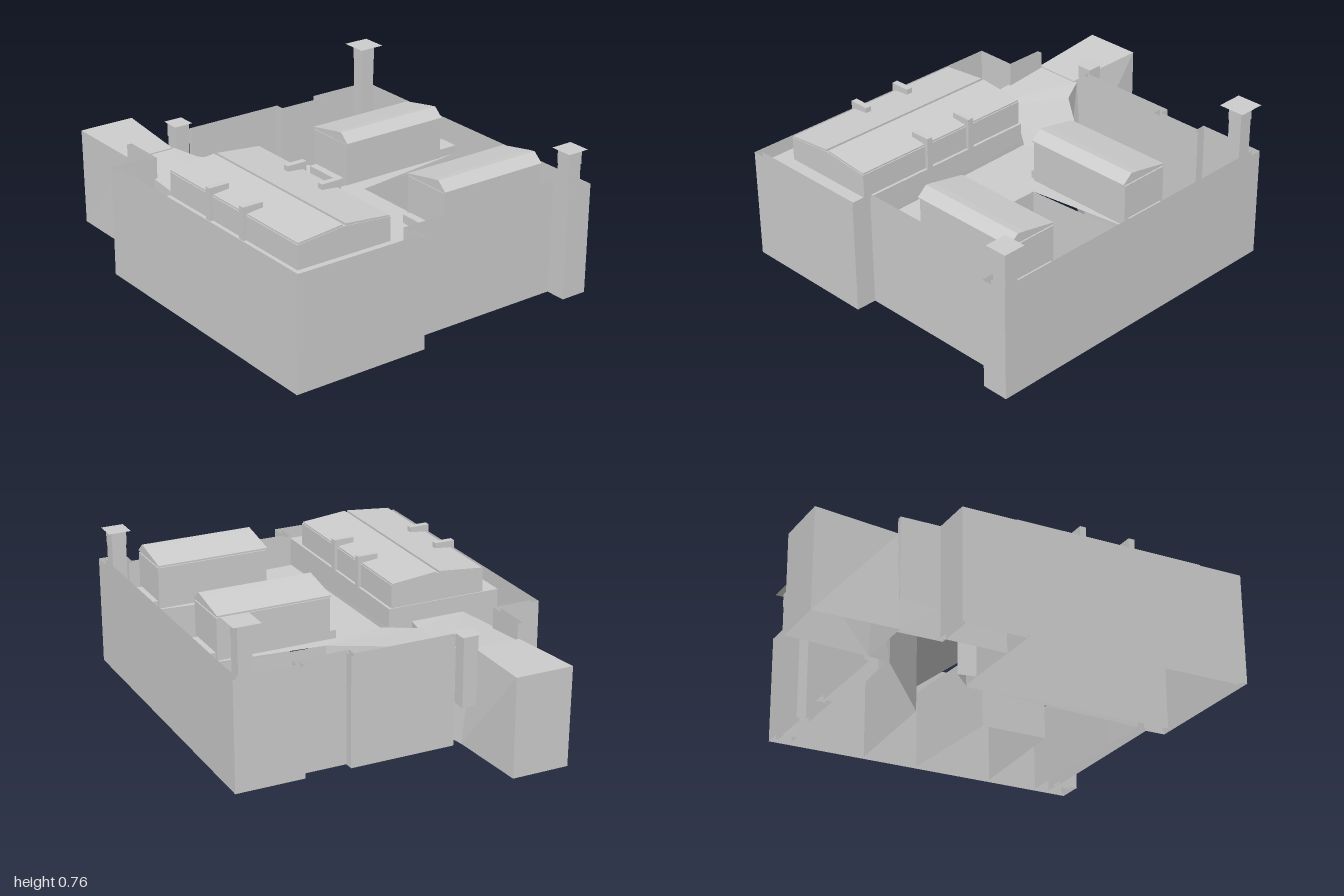
import * as THREE from 'three';

// Two-sided, since the walls and shells are open sheets
const mat = new THREE.MeshStandardMaterial({ color: 0xcccccc, flatShading: true, side: THREE.DoubleSide });

function add(parent, geometry, name) {
  const mesh = new THREE.Mesh(geometry, mat);
  mesh.name = name;
  parent.add(mesh);
  return mesh;
}

// Box given by its limits on each axis; standing boxes have no underside
function box(parent, name, [x0, x1], [y0, y1], [z0, z1], openBelow = true) {
  const g = new THREE.BoxGeometry(x1 - x0, y1 - y0, z1 - z0);
  g.translate((x0 + x1) / 2, (y0 + y1) / 2, (z0 + z1) / 2);
  if (openBelow) g.setIndex([...g.index.array].filter((_, i) => i < 18 || i >= 24));
  return add(parent, g, name);
}

function fromTriangles(points) {
  const g = new THREE.BufferGeometry().setFromPoints(points);
  g.computeVertexNormals();
  return g;
}

const v = (x, y, z) => new THREE.Vector3(x, y, z);
const quad = (out, a, b, c, d) => out.push(a, b, c, a, c, d);

// Sides and roof without a floor; outlines run counterclockwise seen from above.
// The upper edge of the sides may differ from the roof outline.
function shell(bottom, roof, sideTop = roof) {
  const out = [];
  bottom.forEach((p, i) => {
    const j = (i + 1) % bottom.length;
    quad(out, p, bottom[j], sideTop[j], sideTop[i]);
  });
  const flat = roof.map((p) => new THREE.Vector2(p.x, -p.z));
  for (const [a, b, c] of THREE.ShapeUtils.triangulateShape(flat, [])) out.push(roof[a], roof[b], roof[c]);
  return fromTriangles(out);
}

// Perimeter wall: outer and inner sheets along a right-angled path, open along the top
function wallGeometry(path, height, thickness) {
  const inward = path.slice(1).map(([x, z], i) => {
    const dx = x - path[i][0], dz = z - path[i][1], l = Math.hypot(dx, dz);
    return [dz / l, -dx / l];
  });
  const inner = path.map(([x, z], i) => {
    const a = inward[i - 1] || [0, 0], b = inward[i] || [0, 0];
    return [x + (a[0] + b[0]) * thickness, z + (a[1] + b[1]) * thickness];
  });
  const out = [];
  const sheet = (a, b) => quad(out, v(a[0], 0, a[1]), v(b[0], 0, b[1]), v(b[0], height, b[1]), v(a[0], height, a[1]));
  const last = path.length - 1;
  for (let i = 0; i < last; i++) {
    sheet(path[i], path[i + 1]);
    sheet(inner[i + 1], inner[i]);
  }
  sheet(inner[0], path[0]);
  sheet(path[last], inner[last]);
  return fromTriangles(out);
}

// Prism with its profile in x/y, running along z
function prismZ(profile, z0, z1) {
  const shape = new THREE.Shape(profile.map(([x, y]) => new THREE.Vector2(x, y)));
  return new THREE.ExtrudeGeometry(shape, { depth: z1 - z0, bevelEnabled: false }).translate(0, 0, z0);
}

// Prism with its profile in z/y, running along x
function prismX(profile, x0, x1) {
  const g = prismZ(profile.map(([z, y]) => [-z, y]), 0, x1 - x0);
  return g.rotateY(Math.PI / 2).translate(x0, 0, 0);
}

function chimney(parent, x, z, y0, y1, width, capWidth) {
  const g = new THREE.Group();
  g.name = 'chimney';
  const h = width / 2, k = h + 0.002;
  box(g, 'chimneyPost', [x - h, x + h], [y0, y1 - 0.07], [z - h, z + h]);
  box(g, 'chimneyHead', [x - k, x + k], [y1 - 0.07, y1 - 0.002], [z - k, z + k]);
  add(g, new THREE.PlaneGeometry(capWidth, capWidth).rotateX(-Math.PI / 2).translate(x, y1, z), 'chimneyCap');
  parent.add(g);
}

export function createModel() {
  const model = new THREE.Group();
  model.name = 'walledCompound';

  // Perimeter wall with stepped front and back, open at the tunnel
  add(model, wallGeometry([
    [-0.6, -0.6], [-0.6, -0.41], [-0.8, -0.41], [-0.8, 1], [-0.13, 1], [-0.13, 0.9], [0.67, 0.9], [0.67, 1],
    [0.8, 1], [0.8, -0.6], [0.47, -0.6], [0.47, -0.555], [0.25, -0.555], [0.25, -0.6], [-0.26, -0.6],
  ], 0.53, 0.025), 'perimeterWall');

  // Branching duct: roof x, z, y, ground x, z, and whether the side leans in to the roof
  const duct = [
    [-0.59, -0.605, 0.45, -0.605, -0.6, true], [-0.34, -0.605, 0.45, -0.3, -0.6, true],
    [-0.285, -0.49, 0.43, -0.28, -0.49, true], [0.15, -0.15, 0.39, 0.15, -0.15],
    [0.775, -0.09, 0.39, 0.775, -0.12], [0.775, 0.115, 0.39, 0.775, 0.16],
    [0.165, 0.2, 0.39, 0.165, 0.2], [0.165, 0.53, 0.39, 0.165, 0.53],
    [0.775, 0.6, 0.39, 0.775, 0.56], [0.775, 0.805, 0.39, 0.775, 0.82],
    [0.1, 0.835, 0.39, 0.1, 0.835], [-0.145, 0.845, 0.39, -0.15, 0.845],
    [-0.165, -0.07, 0.39, -0.198, -0.07], [-0.305, -0.175, 0.4, -0.305, -0.175],
    [-0.32, -0.09, 0.4, -0.32, -0.09], [-0.59, -0.09, 0.4, -0.6, -0.09, true],
  ].reverse();
  add(model, shell(
    duct.map(([, , , x, z]) => v(x, 0, z)),
    duct.map(([x, z, y]) => v(x, y, z)),
    duct.map(([rx, rz, y, x, z, leans]) => (leans ? v(rx, y, rz) : v(x, y, z)))), 'branchingDuct');

  // Entrance tunnel
  add(model, shell(
    [v(-0.605, 0, -0.598), v(-0.3, 0, -0.598), v(-0.33, 0, -1), v(-0.605, 0, -1)],
    [v(-0.585, 0.455, -0.6), v(-0.355, 0.455, -0.6), v(-0.33, 0.475, -1), v(-0.61, 0.475, -1)]), 'entranceTunnel');

  // Large hall on its plinth, with a two-panel roof
  box(model, 'hallPlinth', [-0.795, -0.202], [0, 0.48], [-0.088, 0.985]);
  add(model, prismZ([[-0.695, 0.48], [-0.215, 0.48], [-0.215, 0.592], [-0.455, 0.613], [-0.695, 0.592]], -0.083, 0.863), 'hallWalls');
  for (const s of [-1, 1]) {
    const p = [[0.007, 0.612], [0.236, 0.59], [0.236, 0.6], [0.007, 0.622]].map(([x, y]) => [-0.455 + s * x, y]);
    add(model, prismZ(s > 0 ? p : p.reverse(), -0.085, 0.86), 'hallRoofPanel');
    for (const z of [0.235, 0.485]) {
      const x = -0.455 + s * 0.2, w = -0.455 + s * 0.248;
      box(model, 'roofVent', [x - 0.045, x + 0.045], [0.595, 0.633], [z - 0.015, z + 0.015], false);
      box(model, 'ventPipe', [w - 0.008, w + 0.008], [0.48, 0.633], [z - 0.015, z + 0.015]);
    }
  }

  // Two small sheds with lopsided roofs over the duct branches
  for (const z of [0, 0.685]) {
    const shed = new THREE.Group();
    shed.name = 'shed';
    shed.position.z = z;
    box(shed, 'shedBase', [0.07, 0.775], [0.39, 0.43], [-0.09, 0.117]);
    box(shed, 'shedWalls', [0.108, 0.66], [0.4, 0.598], [-0.105, 0.14]);
    add(shed, prismX([[0.148, 0.607], [0.1, 0.648], [0.06, 0.642], [-0.108, 0.61], [-0.108, 0.602], [0.148, 0.602]].reverse(), 0.105, 0.658), 'shedRoof');
    model.add(shed);
  }

  // Chimneys
  chimney(model, 0.728, -0.535, 0, 0.76, 0.068, 0.13);
  chimney(model, 0.732, 0.93, 0, 0.69, 0.07, 0.11);
  chimney(model, -0.292, -0.642, 0.215, 0.555, 0.07, 0.095);

  return model;
}
